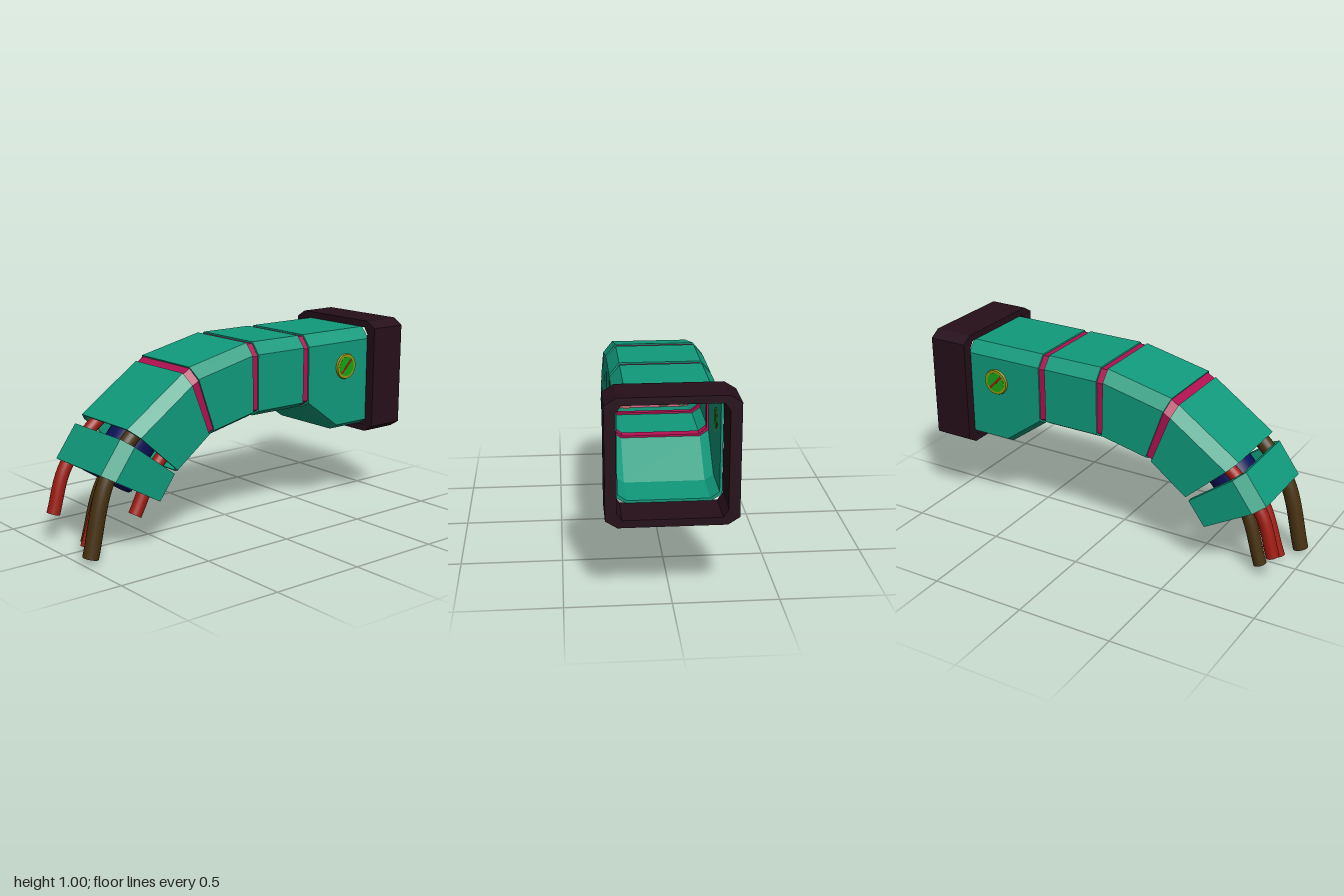
import * as THREE from 'three';

const mat = (color, extra = {}) => new THREE.MeshStandardMaterial({ color, ...extra });
const TEAL = mat(0x109a7c, { flatShading: true });
const DARK = mat(0x260f1a, { flatShading: true });
const MAGENTA = mat(0xb01050, { flatShading: true });
const RED = mat(0x9c1a10), BROWN = mat(0x46300f), BLUE = mat(0x0b1158);
const GREEN = mat(0x14a514), YELLOW = mat(0x969610);

// Chamfered cross-section between a top point and a bottom point of the side profile
function section([tx, ty, bx, by], o, wy = 0, wz = 0) {
  const T = new THREE.Vector2(tx, ty), B = new THREE.Vector2(bx, by);
  const u = B.clone().sub(T).normalize();
  const half = o.half - wz, flat = o.flat - wz * 0.4;
  const p = (base, d, z) => new THREE.Vector3(base.x + u.x * d, base.y + u.y * d, z);
  const top = wy, ct = wy + o.chTop, bot = -wy, cb = -wy - o.chBot;
  if (o.open) {
    return [p(B, 0, -half), p(T, ct, -half), p(T, top, -flat), p(T, top, flat), p(T, ct, half), p(B, 0, half)];
  }
  return [p(T, top, flat), p(T, ct, half), p(B, cb, half), p(B, bot, flat),
    p(B, bot, -flat), p(B, cb, -half), p(T, ct, -half), p(T, top, -flat)];
}

// Hollow shell: outer skin, rims and inner skin swept through stations ordered toward +x
function shell(name, material, stations, opts = {}) {
  const o = { half: 0.25, flat: 0.2, chTop: 0.06, chBot: 0.03, wy: 0.012, wz: 0.012, inset: 0, ...opts };
  const outer = stations.map(s => section(s, o, o.inset, o.inset));
  const inner = stations.map(s => section(s, o, o.inset + o.wy, o.inset + o.wz));
  const loops = [...outer, ...inner.reverse()];
  const n = loops[0].length, pos = [];
  const quad = (a, b, c, d) => [a, b, c, a, c, d].forEach(v => pos.push(v.x, v.y, v.z));
  loops.forEach((A, s) => {
    const C = loops[(s + 1) % loops.length];
    for (let i = 0; i < (o.open ? n - 1 : n); i++) {
      const j = (i + 1) % n;
      quad(A[i], A[j], C[j], C[i]);
    }
  });
  if (o.open) { // lower edges of the two side walls
    quad(...loops.map(l => l[0]));
    quad(...loops.map(l => l[n - 1]).reverse());
  }
  const g = new THREE.BufferGeometry();
  g.setAttribute('position', new THREE.Float32BufferAttribute(pos, 3));
  g.computeVertexNormals();
  const m = new THREE.Mesh(g, material);
  m.name = name;
  return m;
}

// Bent round cable with flat ends, following side-profile points at a constant z
function cable(name, material, z, r, pts, sides = 20) {
  const g = new THREE.Group();
  g.name = name;
  const curve = new THREE.CatmullRomCurve3(pts.map(([x, y]) => new THREE.Vector3(x, y, z)));
  g.add(new THREE.Mesh(new THREE.TubeGeometry(curve, 28, r, sides), material));
  for (const t of [0, 1]) {
    const cap = new THREE.Mesh(new THREE.CircleGeometry(r, sides), material);
    const p = curve.getPoint(t), dir = curve.getTangent(t).multiplyScalar(t ? 1 : -1);
    cap.position.copy(p);
    cap.lookAt(p.clone().add(dir));
    g.add(cap);
  }
  return g;
}

// Slotted screw on the side wall
function screw(side) {
  const g = new THREE.Group();
  g.name = side > 0 ? 'frontScrew' : 'backScrew';
  const rim = new THREE.Mesh(new THREE.CylinderGeometry(0.066, 0.074, 0.022, 32), YELLOW);
  rim.name = 'screwRim';
  const head = new THREE.Mesh(new THREE.CylinderGeometry(0.052, 0.052, 0.024, 32), GREEN);
  head.name = 'screwHead';
  const slot = new THREE.Mesh(new THREE.BoxGeometry(0.1, 0.026, 0.012), RED);
  slot.name = 'screwSlot';
  slot.rotation.y = Math.PI / 4;
  g.add(rim, head, slot);
  g.rotation.x = side * Math.PI / 2;
  g.position.set(0.632, 0.772, side * 0.249);
  return g;
}

export function createModel() {
  const model = new THREE.Group();
  model.name = 'mechanicalArm';

  // Stations are [topX, topY, bottomX, bottomY]
  const wristL = [-0.75, 0.63, -0.47, 0.375], wristR = [-0.42, 0.86, -0.285, 0.515];
  const foreL = [-0.38, 0.885, -0.255, 0.53], foreR = [-0.02, 0.965, -0.01, 0.583];
  const midL = [0.02, 0.965, 0.02, 0.583], midR = [0.328, 0.965, 0.328, 0.583];
  const baseL = [0.365, 0.965, 0.365, 0.578];

  // Armour shells
  model.add(
    shell('baseShell', TEAL, [baseL, [0.575, 0.965, 0.575, 0.425], [0.8, 0.965, 0.8, 0.425]]),
    shell('middleShell', TEAL, [midL, midR]),
    shell('forearmShell', TEAL, [foreL, foreR]),
    shell('wristShell', TEAL, [wristL, wristR]),
    shell('handCover', TEAL, [[-0.905, 0.43, -0.6, 0.257], [-0.79, 0.59, -0.51, 0.38]],
      { open: true, wy: 0.03, wz: 0.033 }));

  // Mounting collar
  model.add(shell('collar', DARK, [[0.79, 1, 0.79, 0.388], [1, 1, 1, 0.388]],
    { half: 0.305, flat: 0.25, chTop: 0.035, chBot: 0.035, wy: 0.036, wz: 0.053 }));

  // Seals in the joints
  [[midR, baseL], [foreR, midL], [wristR, foreL]].forEach((pair, i) =>
    model.add(shell('jointSeal' + (i + 1), MAGENTA, pair, { inset: 0.008, wy: 0.014, wz: 0.014 })));

  // Core with a collared end
  model.add(cable('core', BLUE, -0.003, 0.125,
    [[-0.35, 0.71], [-0.5, 0.6], [-0.62, 0.475], [-0.735, 0.335]], 32));
  const axis = new THREE.Vector3(0.53, 0.85, 0).normalize();
  [[0.035, 0.07], [0.11, 0.035]].forEach(([d, h], i) => {
    const ring = new THREE.Mesh(new THREE.CylinderGeometry(0.133, 0.133, h, 32), BLUE);
    ring.name = 'coreRing' + (i + 1);
    ring.quaternion.setFromUnitVectors(new THREE.Vector3(0, 1, 0), axis);
    ring.position.set(-0.74, 0.33, -0.003).addScaledVector(axis, d);
    model.add(ring);
  });

  // Cables
  model.add(
    cable('thickCableLeft', BROWN, 0.172, 0.04, [[-0.35, 0.835], [-0.71, 0.58], [-0.86, 0.38], [-0.955, 0.025]]),
    cable('thickCableMiddle', BROWN, -0.058, 0.034, [[-0.15, 0.61], [-0.5, 0.54], [-0.725, 0.32], [-0.83, 0.012]]),
    cable('redCableRight', RED, -0.18, 0.034, [[-0.35, 0.795], [-0.7, 0.57], [-0.87, 0.38], [-0.945, 0.155]]),
    cable('redCableMiddle', RED, 0.037, 0.024, [[-0.2, 0.675], [-0.5, 0.57], [-0.77, 0.36], [-0.9, 0.033]]),
    cable('redCableLeft', RED, 0.14, 0.034, [[-0.15, 0.605], [-0.38, 0.53], [-0.54, 0.41], [-0.675, 0.175]]),
    cable('greenCableMiddle', GREEN, -0.003, 0.02, [[-0.2, 0.6], [-0.35, 0.57], [-0.5, 0.48]]),
    cable('greenCableRight', GREEN, -0.165, 0.033, [[-0.2, 0.598], [-0.35, 0.55], [-0.47, 0.46]]));

  // Side screws
  model.add(screw(1), screw(-1));
  return model;
}
